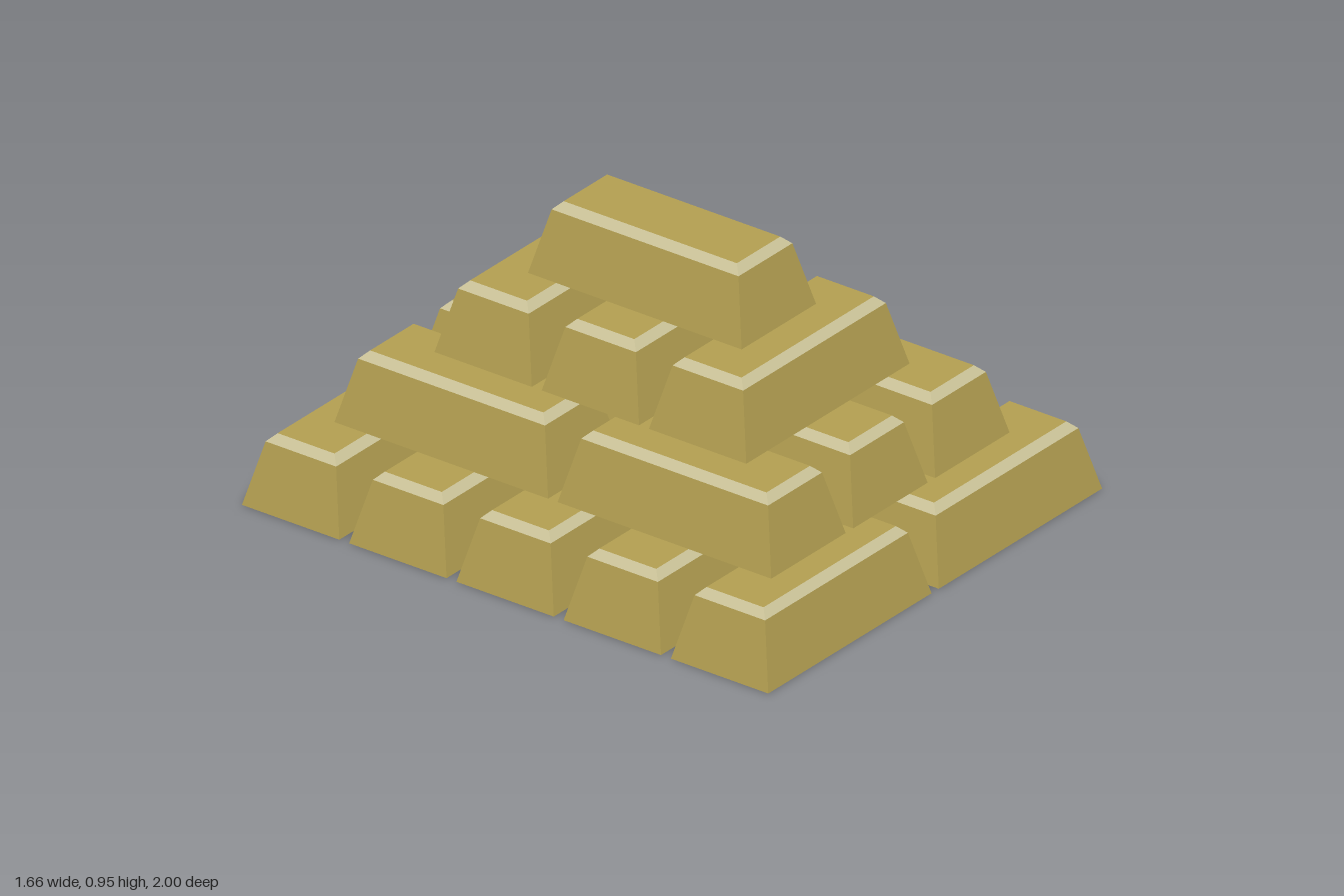
import * as THREE from 'three';

const HEIGHT = 0.2375;

// Cross-sections of one bar: height, half length, half width
const BASE = [0, 0.406, 0.185];
const SHOULDER = [0.212, 0.355, 0.134];
const TOP = [HEIGHT, 0.329, 0.108];

// Four corners of a section, counterclockwise seen from above
const ring = ([y, l, w]) => [[l, y, w], [l, y, -w], [-l, y, -w], [-l, y, w]];

// Four sloping sides between two sections
function sides(lower, upper) {
  const a = ring(lower), b = ring(upper);
  return a.map((p, i) => [p, a[(i + 1) % 4], b[(i + 1) % 4], b[i]]);
}

function quadGeometry(quads) {
  const points = quads.flatMap(([a, b, c, d]) => [a, b, c, a, c, d]).flat();
  const geometry = new THREE.BufferGeometry();
  geometry.setAttribute('position', new THREE.Float32BufferAttribute(points, 3));
  geometry.computeVertexNormals();
  return geometry;
}

export function createModel() {
  const gold = new THREE.MeshStandardMaterial({ color: 0xb5a152 });
  gold.name = 'gold';
  const paleGold = new THREE.MeshStandardMaterial({ color: 0xcac298 });
  paleGold.name = 'pale gold';

  const bodyGeometry = quadGeometry([...sides(BASE, SHOULDER), ring(TOP), ring(BASE).reverse()]);
  const bevelGeometry = quadGeometry(sides(SHOULDER, TOP));

  const model = new THREE.Group();
  model.name = 'barStack';

  // Layers alternate direction; xs and zs are the bar centres
  const layers = [
    { xs: [-0.424, 0.424], zs: [-0.815, -0.4075, 0, 0.4075, 0.815], turned: false },
    { xs: [-0.4075, 0, 0.4075], zs: [-0.424, 0.424], turned: true },
    { xs: [0], zs: [-0.4075, 0, 0.4075], turned: false },
    { xs: [0], zs: [0], turned: true },
  ];

  layers.forEach(({ xs, zs, turned }, level) => {
    const layer = new THREE.Group();
    layer.name = `layer${level + 1}`;
    layer.position.y = level * HEIGHT;
    for (const x of xs) {
      for (const z of zs) {
        const bar = new THREE.Group();
        bar.name = 'bar';
        const body = new THREE.Mesh(bodyGeometry, gold);
        body.name = 'barBody';
        const bevel = new THREE.Mesh(bevelGeometry, paleGold);
        bevel.name = 'barBevel';
        bar.add(body, bevel);
        bar.position.set(x, 0, z);
        if (turned) bar.rotation.y = Math.PI / 2;
        layer.add(bar);
      }
    }
    model.add(layer);
  });

  return model;
}
